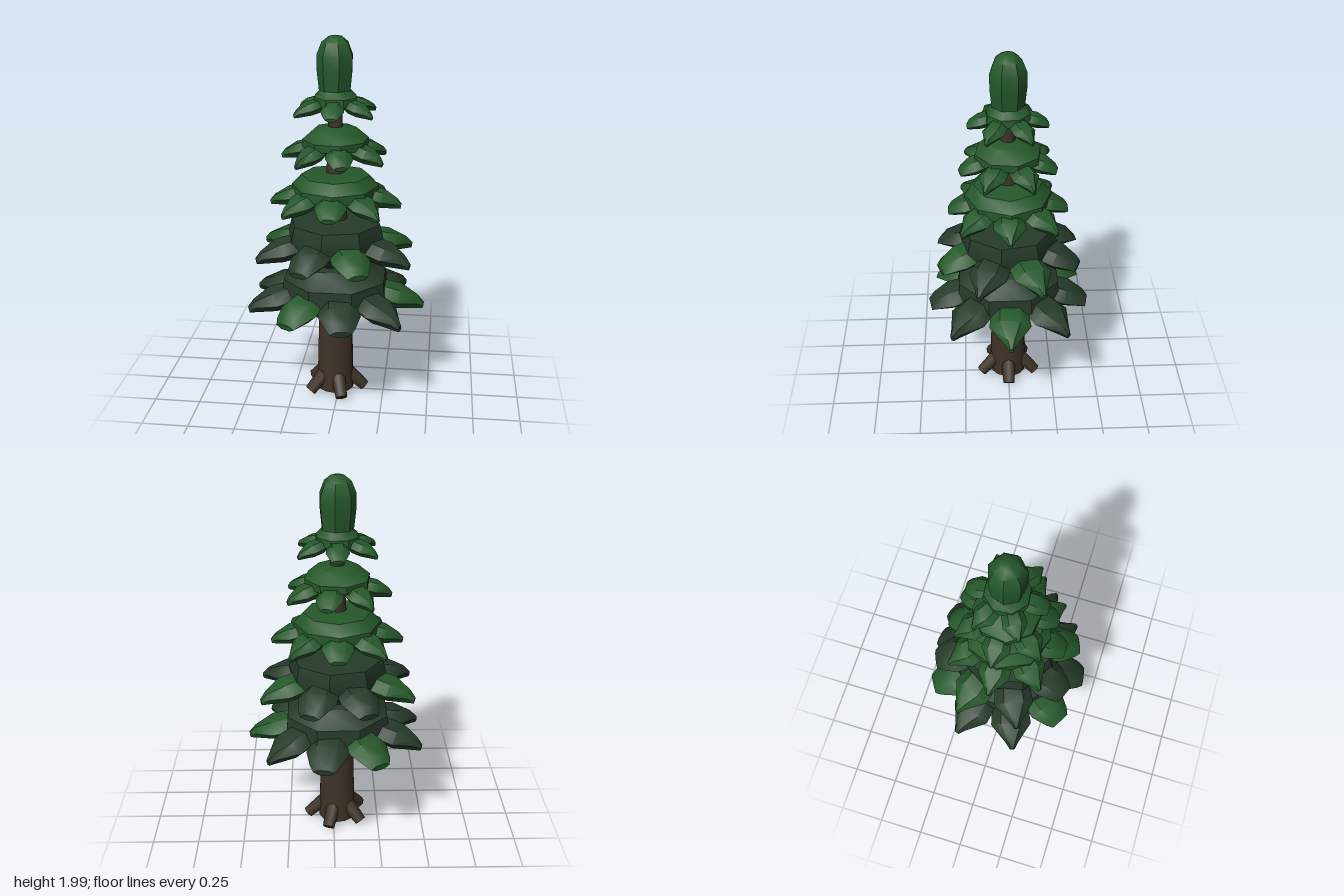
import * as THREE from 'three';
import { toCreasedNormals } from 'three/addons/utils/BufferGeometryUtils.js';

const mat = (name, color) => {
  const m = new THREE.MeshStandardMaterial({ color });
  m.name = name;
  return m;
};

const AXIS_X = -0.02; // the trunk stands slightly off centre

// Faceted bough along +x from 0 to length, built from hexagonal sections.
function boughGeometry(length, halfWidth, halfThick, tipWidth) {
  const sections = [ // position, width, thickness, lift
    [0, 0.55, 0.6, 0], [0.25, 0.9, 1, 0.1], [0.56, 1, 0.95, 0.1], [0.88, tipWidth + 0.2, 0.6, -0.1], [1, tipWidth, 0.3, -0.3],
  ];
  const n = 6, pos = [], idx = [];
  for (const [t, w, h, lift] of sections) {
    for (let j = 0; j < n; j++) {
      const a = (j / n) * Math.PI * 2;
      pos.push(t * length, (h * Math.sin(a) + lift) * halfThick, w * halfWidth * Math.cos(a));
    }
  }
  const last = sections.length - 1;
  for (let i = 0; i < last; i++) {
    for (let j = 0; j < n; j++) {
      const a = i * n + j, c = i * n + (j + 1) % n;
      idx.push(a, a + n, c + n, a, c + n, c);
    }
  }
  for (let j = 1; j < n - 1; j++) {
    idx.push(0, j, j + 1);
    idx.push(last * n, last * n + j + 1, last * n + j);
  }
  const g = new THREE.BufferGeometry();
  g.setAttribute('position', new THREE.Float32BufferAttribute(pos, 3));
  g.setIndex(idx);
  return toCreasedNormals(g, 0.75);
}

// Faceted solid turned around the trunk axis from [radius, y] points.
function turned(points, sides, crease) {
  const g = new THREE.LatheGeometry(points.map(([r, y]) => new THREE.Vector2(r, y)), sides);
  return toCreasedNormals(g, crease);
}

export function createModel() {
  const bark = mat('bark', 0x3e3227);
  const lightGreen = mat('light needles', 0x25582a);
  const darkGreen = mat('dark needles', 0x263b2a);

  const tree = new THREE.Group();
  tree.name = 'pineTree';
  const add = (parent, name, geometry, material) => {
    const m = new THREE.Mesh(geometry, material);
    m.name = name;
    parent.add(m);
    return m;
  };

  // Trunk
  const trunk = add(tree, 'trunk', turned([
    [0, 0.03], [0.103, 0.03], [0.09, 0.52], [0.062, 1.06], [0.045, 1.35], [0.035, 1.62], [0.028, 1.76], [0, 1.76],
  ], 14, 0.8), bark);
  trunk.position.x = AXIS_X;

  // Five splayed roots
  const up = new THREE.Vector3(0, 1, 0);
  for (let i = 0; i < 5; i++) {
    const a = (i / 5) * Math.PI * 2;
    const at = (r, y) => new THREE.Vector3(AXIS_X + r * Math.cos(a), y, r * Math.sin(a));
    const outer = at(0.163, 0.033), inner = at(0.07, 0.12);
    const dir = inner.clone().sub(outer);
    const root = add(tree, 'root', new THREE.CylinderGeometry(0.04, 0.032, dir.length(), 8), bark);
    root.position.copy(outer).add(inner).multiplyScalar(0.5);
    root.quaternion.setFromUnitVectors(up, dir.normalize());
  }

  // Needle tiers: a faceted crown with a ring of drooping boughs
  const tiers = [
    { count: 9, start: 0, inner: 0.17, outer: 0.49, y0: 0.625, y1: 0.565, w: 0.112, h: 0.063, dark: true, lightAt: 0,
      crown: [[0, 0.53], [0.2, 0.53], [0.3, 0.6], [0.29, 0.71], [0.2, 0.79], [0, 0.81]] },
    { count: 8, start: 22, inner: 0.14, outer: 0.445, y0: 0.905, y1: 0.85, w: 0.105, h: 0.06, dark: true, lightAt: 1,
      crown: [[0, 0.8], [0.15, 0.8], [0.25, 0.87], [0.265, 0.94], [0.245, 1.02], [0, 1.04]] },
    { count: 8, start: 0, inner: 0.11, outer: 0.355, y0: 1.175, y1: 1.125, w: 0.085, h: 0.05,
      crown: [[0, 1.13], [0.12, 1.13], [0.23, 1.17], [0.23, 1.22], [0.18, 1.275], [0, 1.295]] },
    { count: 7, start: 26, inner: 0.09, outer: 0.29, y0: 1.425, y1: 1.38, w: 0.072, h: 0.044,
      crown: [[0, 1.4], [0.08, 1.4], [0.175, 1.43], [0.175, 1.47], [0.11, 1.525], [0, 1.54]] },
    { count: 6, start: 30, inner: 0.06, outer: 0.235, y0: 1.655, y1: 1.615, w: 0.06, h: 0.036,
      crown: [[0, 1.63], [0.06, 1.63], [0.12, 1.65], [0.115, 1.69], [0.08, 1.725], [0, 1.735]] },
  ];
  tiers.forEach((t, k) => {
    const tier = new THREE.Group();
    tier.name = 'tier' + (k + 1);
    tier.position.x = AXIS_X;
    tree.add(tier);
    add(tier, 'crown', turned(t.crown, 8, 0.6), t.dark ? darkGreen : lightGreen).rotation.y = 0.4 + k;

    for (let i = 0; i < t.count; i++) {
      const a = THREE.MathUtils.degToRad(t.start + (i * 360) / t.count);
      // Boughs running front and back are shorter and blunter
      const blunt = Math.abs(Math.sin(a)) > 0.8;
      const length = (t.outer - t.inner) * (blunt ? 0.86 : 1);
      const light = !t.dark || i % 3 === t.lightAt;
      const bough = add(tier, 'bough', boughGeometry(length, t.w, t.h, blunt ? 0.5 : 0.12), light ? lightGreen : darkGreen);
      bough.position.set(t.inner * Math.cos(a), t.y0, t.inner * Math.sin(a));
      bough.rotation.set(0, -a, -Math.atan2(t.y0 - t.y1, t.outer - t.inner));
    }
  });

  // Tall rounded tip
  const top = add(tree, 'treeTop', turned([
    [0, 1.72], [0.085, 1.725], [0.095, 1.82], [0.096, 1.9], [0.07, 1.965], [0.035, 1.993], [0, 2],
  ], 7, 0.7), lightGreen);
  top.position.x = AXIS_X;
  top.rotation.y = 0.3;

  return tree;
}
